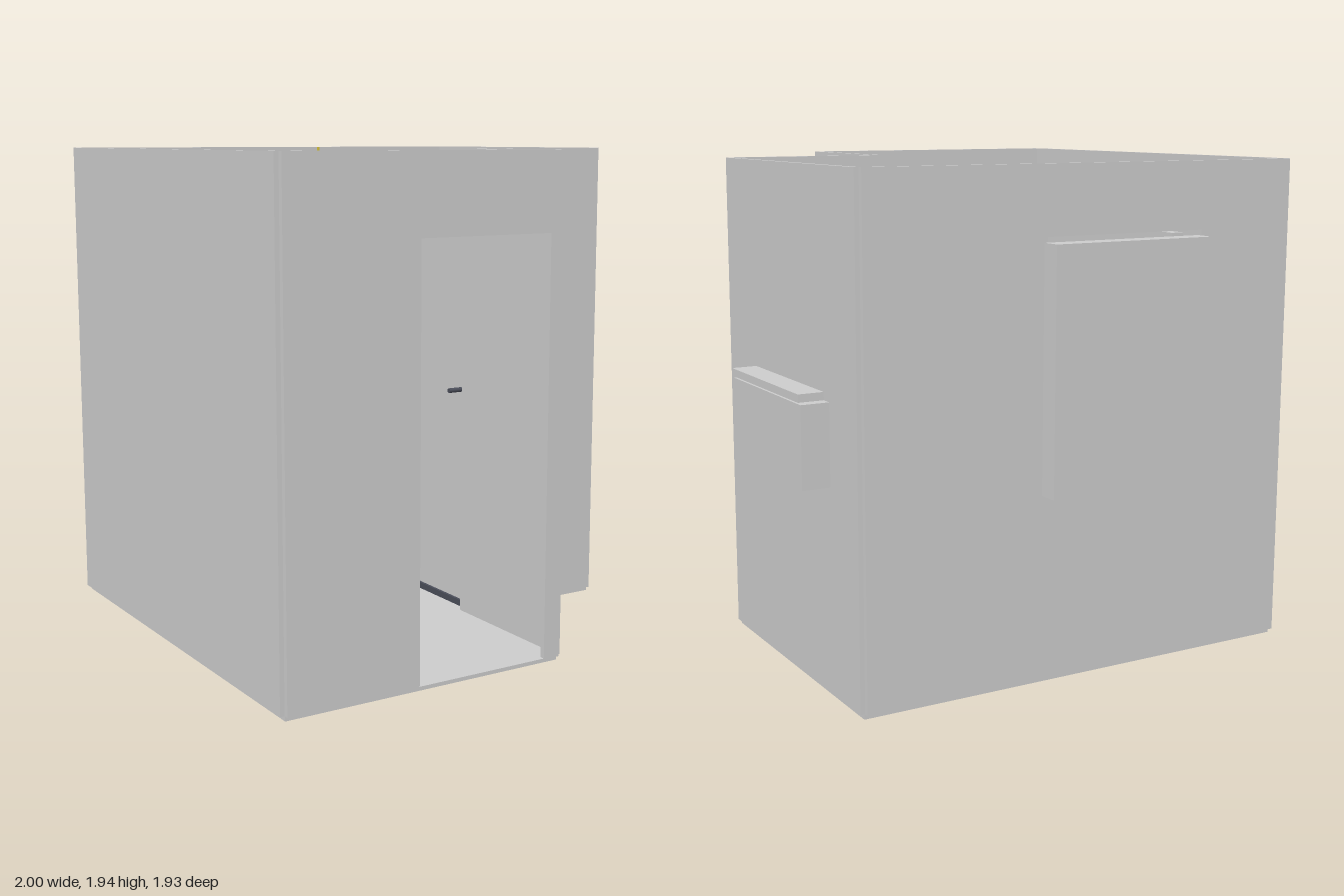
import * as THREE from 'three';
import { RoundedBoxGeometry } from 'three/addons/geometries/RoundedBoxGeometry.js';

const mat = (name, color, side = THREE.FrontSide) => {
  const m = new THREE.MeshStandardMaterial({ color, side });
  m.name = name;
  return m;
};

export function createModel() {
  const grey = mat('light grey', 0xcccccc);
  const dark = mat('slate', 0x4a4d59);
  const yellow = mat('yellow trim', 0xd8c33a);
  const model = new THREE.Group();
  model.name = 'bathroom';

  const add = (name, geometry, material = grey, parent = model) => {
    const mesh = new THREE.Mesh(geometry, material);
    mesh.name = name;
    parent.add(mesh);
    return mesh;
  };
  // box given by its limits on each axis
  const box = (name, [x0, x1], [y0, y1], [z0, z1], material = grey, parent = model) => {
    const mesh = add(name, new THREE.BoxGeometry(x1 - x0, y1 - y0, z1 - z0), material, parent);
    mesh.position.set((x0 + x1) / 2, (y0 + y1) / 2, (z0 + z1) / 2);
    return mesh;
  };
  const outline = (points) => new THREE.Shape(points.map(([x, y]) => new THREE.Vector2(x, y)));
  const rect = (x0, x1, y0, y1) => outline([[x0, y0], [x1, y0], [x1, y1], [x0, y1]]);
  // wall facing z with one rectangular opening
  const openWall = (name, x, z, hole) => {
    const shape = rect(x[0], x[1], ...Y);
    shape.holes.push(rect(...hole));
    const mesh = add(name, new THREE.ExtrudeGeometry(shape, { depth: z[1] - z[0], bevelEnabled: false }));
    mesh.position.z = z[0];
  };

  // L-shaped floor slab
  const floor = outline([[-0.98, 0.87], [-0.98, -0.945], [0.2, -0.945], [0.2, -0.305], [0.875, -0.305], [0.875, 0.87]]);
  const floorGeo = new THREE.ExtrudeGeometry(floor, { depth: 0.024, bevelEnabled: false });
  floorGeo.rotateX(-Math.PI / 2);
  add('floor', floorGeo);

  // walls, leaving small notches at the outer corners
  const Y = [0.02, 1.94];
  box('leftSideWall', [-1, -0.98], Y, [-0.87, 0.945]);
  box('showerSideWall', [0.87, 0.89], Y, [-0.87, 0.305]);
  box('showerFrontWall', [0.197, 0.872], Y, [0.303, 0.325]);
  box('entrySideWall', [0.195, 0.215], Y, [0.31, 0.947]);
  openWall('doorWall', [-0.982, 0.197], [0.945, 0.965], [-0.44, 0.125, 0.024, 1.64]);
  openWall('windowWall', [-0.982, 0.872], [-0.89, -0.87], [-0.555, 0.137, 0.75, 1.68]);

  // boxes set outside the window and through the shower wall
  box('windowBox', [-0.54, 0.15], [0.73, 1.66], [-0.97, -0.889]);
  box('showerBench', [0.3, 1], [0.8, 1.11], [-0.645, -0.01]);
  box('nicheBox', [0.888, 0.99], [0.82, 1.14], [-0.6, 0.035]);

  // yellow tile trim
  const trimY = [0.752, 0.76];
  box('backTrim', [-0.98, 0.2], trimY, [-0.87, -0.862], yellow);
  box('sideTrim', [-0.98, -0.972], trimY, [-0.87, 0.945], yellow);
  box('doorWallTrim', [-0.98, -0.44], trimY, [0.937, 0.945], yellow);
  box('verticalTrim', [0.184, 0.192], Y, [-0.87, -0.862], yellow);

  // vanity with counter and wall cabinet
  const vz = [-0.26, 0.93];
  box('counter', [-0.96, -0.54], [0.57, 0.67], vz);
  box('vanityCabinet', [-0.96, -0.541], [0.17, 0.57], vz, dark);
  box('mirrorCabinet', [-0.96, -0.9], [0.89, 1.61], vz);

  // shower tray and sliding screen
  const shower = new THREE.Group();
  shower.name = 'showerScreen';
  model.add(shower);
  box('showerTray', [0.25, 0.865], [0.02, 0.032], [-0.86, 0.295]);
  box('fixedPanel', [0.213, 0.224], [0.03, 1.68], [-0.86, -0.2], grey, shower);
  box('slidingPanel', [0.236, 0.248], [0.03, 1.68], [-0.37, 0.295], grey, shower);
  box('topTrack', [0.224, 0.236], [1.61, 1.679], [-0.855, 0.29], dark, shower);
  box('bottomTrack', [0.224, 0.236], [0.024, 0.05], [-0.855, 0.29], dark, shower);
  box('towelRail', [0.155, 0.172], [0.95, 0.97], [-0.8, -0.265], dark, shower);
  for (const z of [-0.8, -0.282]) box('railBracket', [0.165, 0.214], [0.95, 0.97], [z, z + 0.017], dark, shower);
  const knob = add('doorKnob', new THREE.CylinderGeometry(0.01, 0.01, 0.13, 16), dark, shower);
  knob.rotation.z = Math.PI / 2;
  knob.position.set(0.24, 0.95, 0.24);

  // toilet, with its bowl lofted from oval sections
  const toilet = new THREE.Group();
  toilet.name = 'toilet';
  model.add(toilet);
  const Z = -0.595;
  const loft = (rings, n = 40) => {
    const pos = [], index = [];
    rings.forEach(([x0, x1, rz, y], r) => {
      for (let i = 0; i < n; i++) {
        const a = (i / n) * Math.PI * 2;
        pos.push((x0 + x1) / 2 + Math.cos(a) * (x1 - x0) / 2, y, Z + Math.sin(a) * rz);
        if (!r) continue;
        const p = (r - 1) * n + i, q = (r - 1) * n + (i + 1) % n;
        index.push(p, p + n, q, q, p + n, q + n);
      }
    });
    const g = new THREE.BufferGeometry();
    g.setAttribute('position', new THREE.Float32BufferAttribute(pos, 3));
    g.setIndex(index);
    g.computeVertexNormals();
    return g;
  };
  add('bowlOutside', loft([[-0.74, -0.41, 0.11, 0.024], [-0.74, -0.42, 0.1, 0.2], [-0.75, -0.375, 0.135, 0.27],
    [-0.755, -0.34, 0.16, 0.33], [-0.76, -0.325, 0.172, 0.385], [-0.76, -0.325, 0.172, 0.395]]), grey, toilet);
  add('bowlRim', loft([[-0.76, -0.325, 0.172, 0.395], [-0.755, -0.33, 0.168, 0.4], [-0.67, -0.37, 0.135, 0.4]]), grey, toilet);
  add('bowlInside', loft([[-0.67, -0.37, 0.135, 0.4], [-0.66, -0.385, 0.12, 0.36], [-0.64, -0.46, 0.085, 0.28],
    [-0.62, -0.52, 0.05, 0.22], [-0.57, -0.569, 0.001, 0.21]]), grey, toilet);
  box('bowlBack', [-0.8, -0.69], [0.024, 0.398], [Z - 0.1, Z + 0.1], grey, toilet);
  const rounded = (name, size, at, r) =>
    add(name, new RoundedBoxGeometry(...size, 3, r), grey, toilet).position.set(...at);
  rounded('cistern', [0.16, 0.38, 0.32], [-0.84, 0.56, Z], 0.02);
  rounded('cisternLid', [0.175, 0.04, 0.34], [-0.835, 0.755, Z], 0.015);
  const button = add('flushButton', new THREE.CylinderGeometry(0.022, 0.022, 0.01, 20), grey, toilet);
  button.position.set(-0.82, 0.778, Z);
  // raised lid and seat ring
  const oval = new THREE.Shape().absellipse(0, 0.57, 0.17, 0.18, 0, Math.PI * 2);
  const ring = oval.clone();
  ring.holes.push(new THREE.Path().absellipse(0, 0.57, 0.115, 0.13, 0, Math.PI * 2));
  [['raisedLid', oval, -0.755], ['raisedSeat', ring, -0.742]].forEach(([name, shape, x]) => {
    const m = add(name, new THREE.ExtrudeGeometry(shape, { depth: 0.01, bevelEnabled: false, curveSegments: 24 }), grey, toilet);
    m.rotation.y = Math.PI / 2;
    m.position.set(x, 0, Z);
  });
  for (const s of [-1, 1]) {
    const hinge = add('seatHinge', new THREE.CylinderGeometry(0.01, 0.01, 0.04, 12), grey, toilet);
    hinge.rotation.x = Math.PI / 2;
    hinge.position.set(-0.735, 0.408, Z + s * 0.055);
  }
  return model;
}
